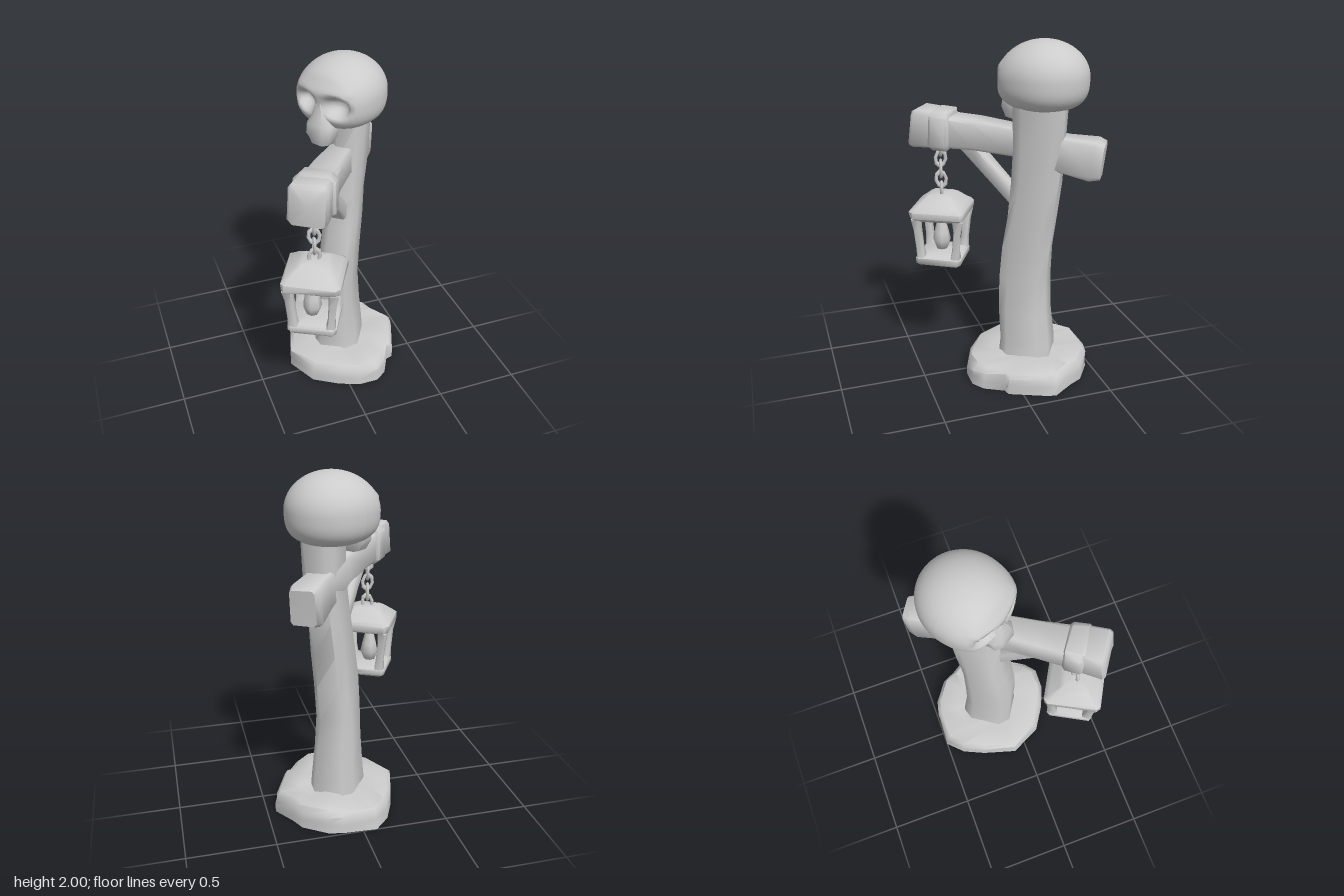
import * as THREE from 'three';
import { toCreasedNormals } from 'three/addons/utils/BufferGeometryUtils.js';

const mat = new THREE.MeshStandardMaterial({ color: 0xcccccc });
const V = (x, y, z) => new THREE.Vector3(x, y, z);

let seed = 7;
const jitter = (a) => {
  seed = (seed * 16807) % 2147483647;
  return (seed / 2147483647 - 0.5) * 2 * a;
};

function add(parent, name, geometry, x = 0, y = 0, z = 0) {
  const mesh = new THREE.Mesh(geometry, mat);
  mesh.name = name;
  mesh.position.set(x, y, z);
  parent.add(mesh);
  return mesh;
}

// Skin a list of equal-length rings (counter-clockwise about the growth direction), capped at both ends
function loft(rings) {
  const pos = [];
  const tri = (...p) => p.forEach((v) => pos.push(v.x, v.y, v.z));
  const n = rings[0].length;
  const mid = (r) => r.reduce((s, p) => s.add(p), V(0, 0, 0)).divideScalar(n);
  const first = rings[0], last = rings[rings.length - 1];
  const c0 = mid(first), c1 = mid(last);
  for (let j = 0; j < n; j++) {
    const k = (j + 1) % n;
    for (let i = 0; i + 1 < rings.length; i++) {
      const [a, b, c, d] = [rings[i][j], rings[i][k], rings[i + 1][k], rings[i + 1][j]];
      tri(a, b, c);
      tri(a, c, d);
    }
    tri(c0, first[k], first[j]);
    tri(c1, last[j], last[k]);
  }
  const g = new THREE.BufferGeometry();
  g.setAttribute('position', new THREE.Float32BufferAttribute(pos, 3));
  return toCreasedNormals(g, 1);
}

// Chamfered rectangular timber through sections [x, y, z, width, height]
function timber(sections, rough = 0, chamfer = 0.16) {
  const centres = sections.map((s) => V(s[0], s[1], s[2]));
  const dir = centres[centres.length - 1].clone().sub(centres[0]).normalize();
  const q = new THREE.Quaternion().setFromUnitVectors(V(0, 0, 1), dir);
  const e = 0.5 - chamfer;
  const outline = [[0.5, -e], [0.5, e], [e, 0.5], [-e, 0.5], [-0.5, e], [-0.5, -e], [-e, -0.5], [e, -0.5]];
  return loft(sections.map((s, i) => outline.map(([u, v]) =>
    V(u * s[3] + jitter(rough), v * s[4] + jitter(rough), jitter(rough)).applyQuaternion(q).add(centres[i]))));
}

// Lumpy stone plinth
function stoneBase() {
  const outline = [[-0.08, -0.5], [-0.17, -0.41], [-0.23, -0.28], [-0.29, -0.08], [-0.2, 0.11], [-0.06, 0.2],
    [0.06, 0.25], [0.18, 0.25], [0.25, 0.2], [0.31, 0.09], [0.35, 0.08], [0.44, -0.13], [0.45, -0.18],
    [0.37, -0.3], [0.33, -0.38], [0.2, -0.47], [0.12, -0.49]];
  const levels = [[0, 1], [0.05, 0.99], [0.1, 0.98], [0.125, 0.91], [0.128, 0.6], [0.13, 0.3]];
  return loft(levels.map(([y, s], i) => outline.map(([x, z]) => {
    const k = i ? s + jitter(0.02) : s;
    return V(0.08 + (x - 0.08) * k, y + (i ? jitter(0.01) : 0), -0.13 + (z + 0.13) * k);
  })));
}

// Cranium: sphere with squared lower half, broad face and pressed-in sockets
function cranium() {
  const g = new THREE.SphereGeometry(1, 56, 40);
  const p = g.attributes.position;
  for (let i = 0; i < p.count; i++) {
    let x = p.getX(i), y = p.getY(i), z = p.getZ(i);
    if (y < 0 && y > -0.999) {
      const k = Math.cbrt(1 + y ** 3) / Math.sqrt(1 - y * y);
      x *= k;
      z *= k;
    }
    if (z > 0) {
      // push the corners of brow and cheek outward
      const corner = 1 + 0.06 * Math.sin(2 * Math.atan2(x, z)) ** 2 * (1 - Math.max(y, 0));
      x *= corner;
      z *= corner;
    }
    x *= 0.24;
    y *= y > 0 ? 0.2 : 0.18;
    z *= 0.25;
    if (z > 0) {
      if (z > 0.18) z = 0.18 + (z - 0.18) * 0.75;
      const eye = Math.hypot((Math.abs(x) - 0.098) / 0.062, (y + 0.02) / 0.052);
      const brow = Math.exp(-(((y - 0.055) / 0.03) ** 2)) * (Math.abs(x) < 0.17 ? 0.01 : 0);
      z += brow - 0.085 * Math.exp(-(eye ** 4));
    }
    p.setXYZ(i, x, y, z);
  }
  g.computeVertexNormals();
  return g;
}

function skull() {
  const s = new THREE.Group();
  s.name = 'skull';
  add(s, 'cranium', cranium());
  // upper jaw narrowing upward into the nose ridge
  add(s, 'upperJaw', timber([[0, -0.248, 0.195, 0.11, 0.1], [0, -0.2, 0.195, 0.155, 0.14],
    [0, -0.14, 0.185, 0.16, 0.14], [0, -0.09, 0.18, 0.1, 0.13], [0, -0.02, 0.165, 0.045, 0.13]], 0.004, 0.22));
  s.position.set(0.11, 1.8, -0.2);
  s.rotation.y = -0.98;
  return s;
}

function lantern() {
  const l = new THREE.Group();
  l.name = 'lantern';
  // plates built from [y, side] steps
  const plate = (steps) => timber(steps.map(([y, w]) => [0, y, 0, w, w]), 0.004, 0.07);
  add(l, 'roof', plate([[0.94, 0.29], [0.955, 0.325], [0.995, 0.325], [1.015, 0.28], [1.06, 0.18], [1.075, 0.13]]));
  add(l, 'floor', plate([[0.65, 0.25], [0.665, 0.275], [0.695, 0.275], [0.71, 0.24]]));
  for (const x of [-1, 1]) for (const z of [-1, 1]) {
    add(l, 'cornerBar', timber([[x * 0.104, 0.7, z * 0.104, 0.055, 0.055], [x * 0.11, 0.76, z * 0.11, 0.042, 0.042],
      [x * 0.12, 0.88, z * 0.12, 0.045, 0.045], [x * 0.126, 0.95, z * 0.126, 0.06, 0.06]], 0.003));
  }
  const flame = [[0, 0.7], [0.035, 0.715], [0.055, 0.77], [0.045, 0.82], [0.03, 0.88], [0.016, 0.93], [0, 0.98]];
  add(l, 'flame', new THREE.LatheGeometry(flame.map(([r, y]) => new THREE.Vector2(r, y)), 7), -0.015, 0, 0.01);
  // chain of alternating oval links
  for (let i = 0; i < 5; i++) {
    const link = add(l, 'chainLink', new THREE.TorusGeometry(0.03, 0.0105, 6, 8), 0, 1.095 + i * 0.064, 0);
    link.scale.set(1, 1.5, 1);
    link.rotation.set(0, i * Math.PI / 2 + 0.3, i % 2 ? 0.15 : -0.15);
  }
  l.position.set(-0.24, 0, 0.305);
  l.rotation.y = -0.5;
  return l;
}

export function createModel() {
  const root = new THREE.Group();
  root.name = 'signpostLantern';
  add(root, 'stoneBase', stoneBase());

  // timber frame, turned so that the arm points along its local +z
  const frame = new THREE.Group();
  frame.name = 'timberFrame';
  frame.position.set(0.01, 0, -0.02);
  frame.rotation.y = -0.607;
  root.add(frame);
  add(frame, 'post', timber([
    [-0.022, 0.08, -0.124, 0.285, 0.305], [-0.022, 0.2, -0.122, 0.265, 0.295], [-0.024, 0.4, -0.112, 0.23, 0.285],
    [-0.025, 0.6, -0.108, 0.21, 0.28], [-0.016, 0.8, -0.125, 0.2, 0.27], [-0.006, 1.0, -0.148, 0.195, 0.265],
    [0.01, 1.2, -0.172, 0.185, 0.27], [0.02, 1.4, -0.192, 0.18, 0.28], [0.029, 1.66, -0.2, 0.185, 0.28]], 0.007, 0.19));
  add(frame, 'crossArm', timber([
    [0, 1.36, -0.55, 0.14, 0.2], [0, 1.365, -0.5, 0.165, 0.225], [0.005, 1.385, -0.34, 0.155, 0.2],
    [-0.005, 1.435, -0.05, 0.14, 0.165], [-0.012, 1.458, 0.18, 0.165, 0.17], [-0.012, 1.466, 0.33, 0.18, 0.18],
    [-0.01, 1.475, 0.42, 0.2, 0.21], [-0.01, 1.478, 0.53, 0.215, 0.22], [-0.01, 1.475, 0.55, 0.19, 0.2]], 0.005, 0.1));
  add(frame, 'ropeCollar', timber([
    [-0.01, 1.468, 0.32, 0.18, 0.19], [-0.01, 1.468, 0.335, 0.215, 0.22],
    [-0.01, 1.472, 0.42, 0.225, 0.23], [-0.01, 1.474, 0.44, 0.2, 0.21]], 0.005, 0.14));
  add(frame, 'brace', timber([
    [-0.005, 1.04, -0.11, 0.095, 0.09], [-0.005, 1.15, -0.005, 0.095, 0.09],
    [-0.005, 1.28, 0.12, 0.095, 0.09], [-0.005, 1.42, 0.25, 0.11, 0.1]], 0.005));

  root.add(skull(), lantern());
  return root;
}
